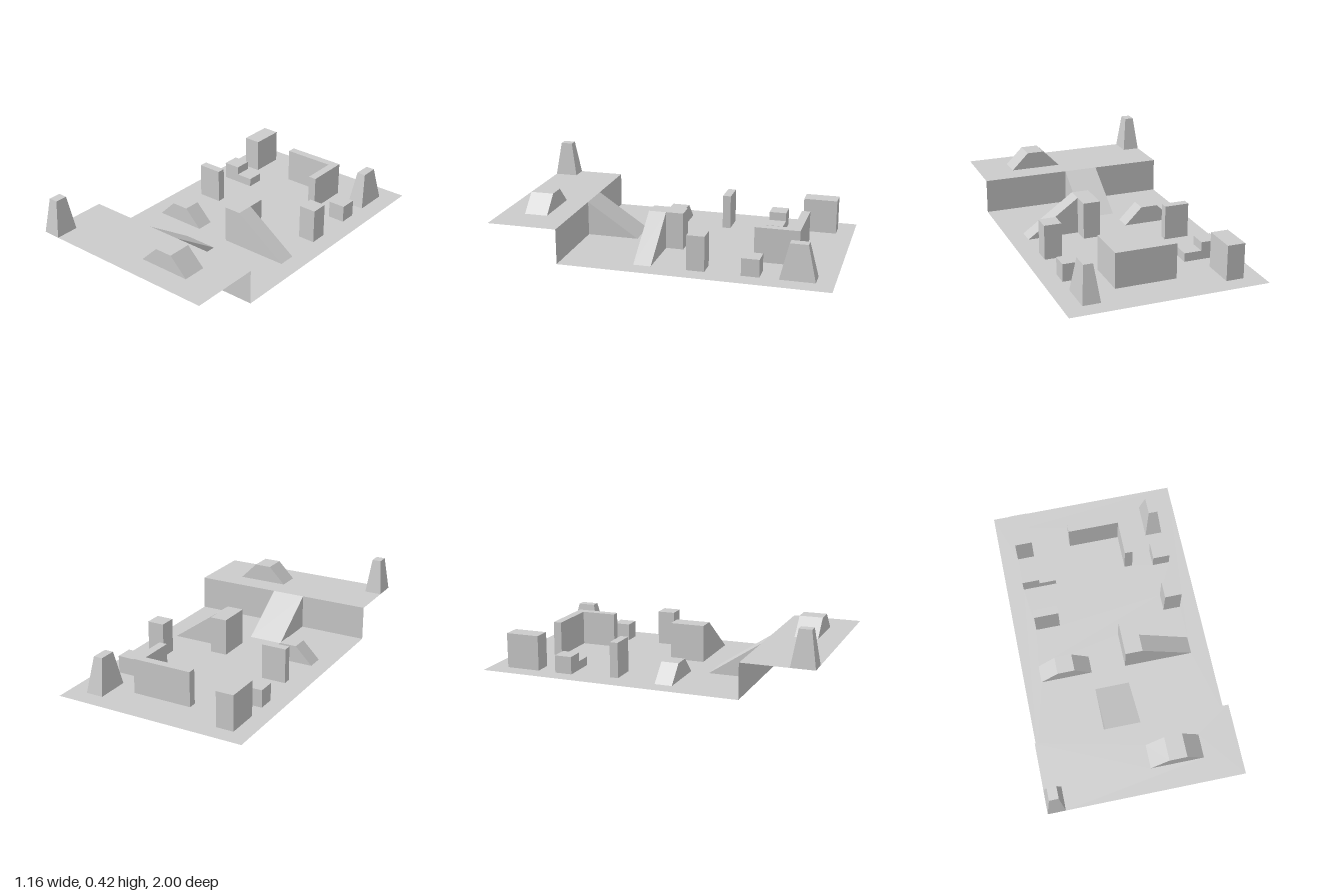
import * as THREE from 'three';

const material = new THREE.MeshStandardMaterial({ color: 0xcccccc, flatShading: true, side: THREE.DoubleSide });
const LEVEL = 0.21; // height of the raised deck
const LOW = 0.105;

// Rectangle corners [x, z], counter-clockwise from above: edges run front, +x, back, -x
const rect = (x0, x1, z0, z1) => [[x0, z1], [x1, z1], [x1, z0], [x0, z0]];

// Horizontal sheet at height y with optional holes
function sheet(outline, y, holes = []) {
  const toPoints = (pts) => pts.map(([x, z]) => new THREE.Vector2(x, -z));
  const shape = new THREE.Shape(toPoints(outline));
  shape.holes = holes.map((h) => new THREE.Path(toPoints(h)));
  return new THREE.ShapeGeometry(shape).rotateX(-Math.PI / 2).translate(0, y, 0);
}

// Side walls between a bottom and a top outline, leaving out the skipped edges
function walls(bottom, top, y0, y1, skip) {
  const pos = [];
  bottom.forEach((a, i) => {
    if (skip.includes(i)) return;
    const j = (i + 1) % bottom.length;
    const p = [a[0], y0, a[1]];
    const q = [bottom[j][0], y0, bottom[j][1]];
    const r = [top[j][0], y1, top[j][1]];
    const s = [top[i][0], y1, top[i][1]];
    pos.push(...p, ...q, ...r, ...p, ...r, ...s);
  });
  const geo = new THREE.BufferGeometry();
  geo.setAttribute('position', new THREE.Float32BufferAttribute(pos, 3));
  geo.computeVertexNormals();
  return geo;
}

export function createModel() {
  const model = new THREE.Group();
  model.name = 'obstacleArena';

  const add = (name, geo, parent = model) => {
    const mesh = new THREE.Mesh(geo, material);
    mesh.name = name;
    parent.add(mesh);
  };

  // Hollow block, open underneath; a wedge has no cap
  const block = (name, bottom, height, { top = bottom, y = 0, skip = [], cap = true } = {}) => {
    const group = new THREE.Group();
    group.name = name;
    add(name + 'Sides', walls(bottom, top, y, y + height, skip), group);
    if (cap) add(name + 'Top', sheet(top, y + height), group);
    model.add(group);
  };

  // Footprints
  const tallBox = rect(-0.475, -0.37, -0.895, -0.69);
  const backPillar = rect(0.365, 0.47, -0.895, -0.69);
  const cube = rect(0.365, 0.47, -0.58, -0.475);
  const post = rect(0.365, 0.47, -0.265, -0.16);
  const panel = rect(-0.445, -0.295, -0.24, -0.19);
  const mound = rect(-0.475, -0.16, 0.05, 0.155);
  const deckMound = rect(0.05, 0.365, 0.72, 0.86);
  const corner = [[-0.13, -0.715], [0.185, -0.715], [0.185, -0.5], [0.235, -0.5], [0.235, -0.765], [-0.13, -0.765]];
  const rampBox = [[0.05, 0.155], [0.155, 0.155], [0.155, 0.05], [0.155, -0.055], [0.05, -0.055]];
  const rampAndBox = [[0.05, 0.155], [0.47, 0.155], [0.47, 0.05], [0.155, 0.05], [0.155, -0.055], [0.05, -0.055]];

  // Floor, open below the hollow obstacles
  add('floor', sheet(rect(-0.58, 0.58, -1, 0.58), 0, [
    tallBox, backPillar, cube, post, panel, mound, corner, rampAndBox,
    rect(-0.475, -0.265, -0.58, -0.475),
  ]));

  // Raised deck with a corner cut for the pillar, and its retaining wall
  add('deck', sheet([[-0.475, 1], [0.58, 1], [0.58, 0.58], [-0.58, 0.58], [-0.58, 0.86], [-0.475, 0.86]],
    LEVEL, [deckMound]));
  add('deckWall', new THREE.PlaneGeometry(1.16, LEVEL).rotateY(Math.PI).translate(0, LEVEL / 2, 0.58));

  // Ramp up to the deck
  block('deckRamp', rect(-0.16, 0.05, 0.265, 0.58), LEVEL,
    { top: rect(-0.16, 0.05, 0.58, 0.58), skip: [0], cap: false });

  // Upright blocks
  block('tallBox', tallBox, LEVEL);
  block('post', post, LEVEL);
  block('panel', panel, LEVEL);
  block('cornerWall', corner, LEVEL);
  block('cube', cube, LOW);

  // Two steps
  block('upperStep', rect(-0.475, -0.37, -0.58, -0.475), LOW);
  block('lowerStep', rect(-0.37, -0.265, -0.58, -0.475), LOW / 2, { skip: [3] });

  // Platform with a side ramp
  block('rampBox', rampBox, 0.225, { skip: [1] });
  block('sideRamp', rect(0.155, 0.47, 0.05, 0.155), 0.225,
    { top: rect(0.155, 0.155, 0.05, 0.155), skip: [3], cap: false });

  // Mounds with two sloping ends
  block('mound', mound, LOW, { top: rect(-0.37, -0.265, 0.05, 0.155) });
  block('deckMound', deckMound, LOW, { top: rect(0.155, 0.26, 0.72, 0.86), y: LEVEL });

  // Tapered pillars
  block('backPillar', backPillar, LEVEL, { top: rect(0.39, 0.445, -0.845, -0.74) });
  block('deckPillar', rect(-0.58, -0.475, 0.86, 1), LEVEL,
    { top: rect(-0.555, -0.5, 0.895, 0.967), y: LEVEL });

  return model;
}
